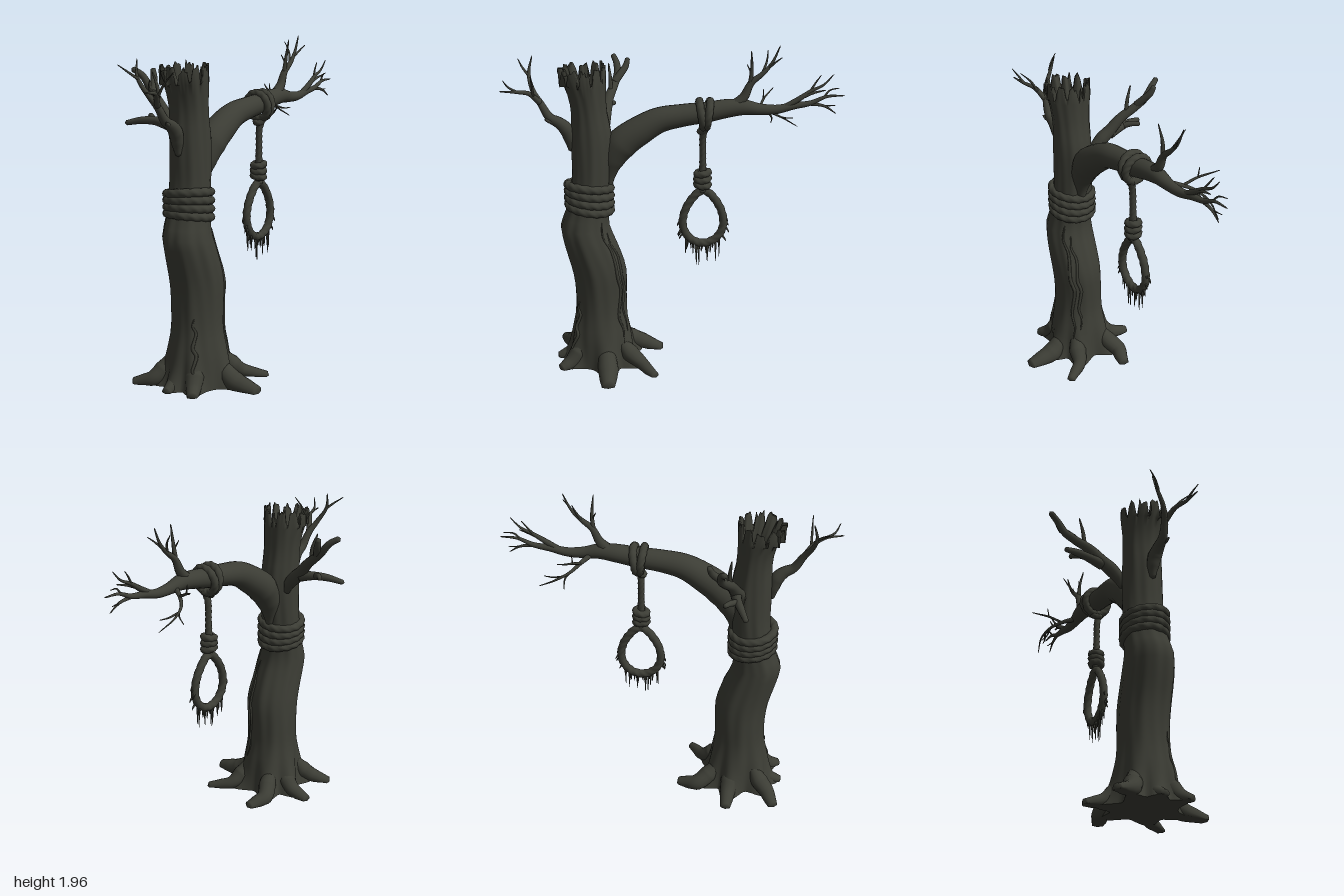
import * as THREE from 'three';
import { mergeVertices, mergeGeometries } from 'three/addons/utils/BufferGeometryUtils.js';

const V = (x, y, z) => new THREE.Vector3(x, y, z);
let seed = 7;
const rand = () => (seed = (seed * 16807) % 2147483647) / 2147483647;

// Weld the seam of a geometry and give it smooth normals
function smooth(geo) {
  geo.deleteAttribute('uv');
  geo.deleteAttribute('normal');
  const g = mergeVertices(geo, 1e-5);
  g.computeVertexNormals();
  return g;
}

// Tapered tube through points [x, y, z, radius]; twist > 0 adds rope strands
function taper(pts, { sides = 10, steps = pts.length * 6, closed = false, twist = 0, floor = false } = {}) {
  const curve = new THREE.CatmullRomCurve3(pts.map(p => V(p[0], p[1], p[2])), closed);
  const geo = new THREE.TubeGeometry(curve, steps, 1, sides, closed);
  const pos = geo.attributes.position, v = V(0, 0, 0);
  const last = closed ? pts.length : pts.length - 1;
  for (let i = 0; i <= steps; i++) {
    const c = curve.getPointAt(i / steps);
    const f = curve.getUtoTmapping(i / steps) * last, k = Math.min(Math.floor(f), last - 1);
    let r = THREE.MathUtils.lerp(pts[k][3], pts[(k + 1) % pts.length][3], f - k);
    if (!closed && (i === 0 || i === steps)) r = 0;
    for (let j = 0; j <= sides; j++) {
      const n = i * (sides + 1) + j;
      const strand = twist ? 1 + 0.07 * Math.cos(3 * (j / sides) * Math.PI * 2 + (i / steps) * twist * Math.PI * 2) : 1;
      v.fromBufferAttribute(pos, n).sub(c).multiplyScalar(r * strand).add(c);
      if (floor) v.y = Math.max(v.y, 0);
      pos.setXYZ(n, v.x, v.y, v.z);
    }
  }
  return smooth(geo);
}

// Closed rope ring made of points from a function of angle
function ring(fn, r, twist) {
  const pts = [];
  for (let i = 0; i < 16; i++) pts.push([...fn((i / 16) * Math.PI * 2), r]);
  return taper(pts, { sides: 12, steps: 96, closed: true, twist });
}

// Roots: start, bend and tip on the ground as [x, z], and thickness
const ROOTS = [
  [[-0.53, -0.03], [-0.63, -0.1], [-0.685, -0.215], 0.04],
  [[-0.54, 0.14], [-0.62, 0.19], [-0.69, 0.235], 0.038],
  [[-0.41, 0.18], [-0.395, 0.31], [-0.39, 0.48], 0.052],
  [[-0.33, 0.16], [-0.2, 0.215], [-0.105, 0.345], 0.034],
  [[-0.33, 0.0], [-0.19, -0.075], [-0.06, -0.04], 0.042],
  [[-0.4, -0.03], [-0.39, -0.14], [-0.385, -0.27], 0.04],
  [[-0.53, 0.05], [-0.63, 0.05], [-0.715, 0.06], 0.034],
];
const LOBES = ROOTS.map(r => Math.atan2(r[1][1] - 0.075, r[1][0] + 0.43));

// Trunk outline by height: y, centre x, radius x, centre z, radius z
const OUTLINE = [
  [0, -0.43, 0.175, 0.075, 0.172], [0.2, -0.435, 0.168, 0.075, 0.16], [0.32, -0.437, 0.153, 0.072, 0.147],
  [0.45, -0.437, 0.153, 0.07, 0.146], [0.6, -0.447, 0.16, 0.075, 0.148], [0.72, -0.48, 0.158, 0.078, 0.147],
  [0.82, -0.512, 0.15, 0.077, 0.144], [0.89, -0.527, 0.142, 0.073, 0.138], [0.97, -0.51, 0.125, 0.066, 0.128],
  [1.08, -0.492, 0.117, 0.063, 0.122], [1.2, -0.48, 0.113, 0.062, 0.12], [1.32, -0.475, 0.118, 0.062, 0.118],
  [1.45, -0.475, 0.118, 0.062, 0.115], [1.58, -0.483, 0.103, 0.06, 0.113], [1.67, -0.492, 0.108, 0.06, 0.118],
  [1.74, -0.504, 0.12, 0.058, 0.128], [1.8, -0.52, 0.138, 0.058, 0.137],
];
const outline = new THREE.CubicInterpolant(OUTLINE.map(r => r[0]), OUTLINE.flatMap(r => r.slice(1)), 4);

// Point on the trunk surface, with root flares low down and wandering furrows
function trunkPoint(a, y) {
  const [cx, rx, cz, rz] = outline.evaluate(y);
  let flare = 0;
  for (const b of LOBES) flare = Math.max(flare, Math.exp(-((Math.sin((a - b) / 2) / 0.15) ** 2)));
  const s = 1 + 0.02 * Math.sin(7 * a + y * 3) + 0.012 * Math.sin(13 * a - y * 4) + 0.58 * flare * Math.exp(-y / 0.125);
  return [cx + Math.cos(a) * rx * s, y, cz + Math.sin(a) * rz * s];
}

// Hollow trunk with a base, a splintered lip and an inner wall
function trunkGeometry() {
  const N = 80, rows = [], jag = [], pos = [], idx = [];
  const angle = j => (j / N) * Math.PI * 2;
  for (let j = 0; j < N; j++) jag.push((j % 7 < 2 ? -0.06 + 0.03 * rand() : 0.055 * rand()) + 0.012 * Math.cos(angle(j)));
  rows.push(() => [-0.43, 0, 0.075], j => trunkPoint(angle(j), 0));
  for (const y of [0, 0.02, 0.045, 0.075, 0.11, 0.15, 0.19, 0.24, 0.3]) rows.push(j => trunkPoint(angle(j), y));
  for (let i = 0; i <= 24; i++) rows.push(j => trunkPoint(angle(j), 0.36 + i * 0.0575));
  rows.push(j => {
    const p = trunkPoint(angle(j), 1.8);
    return [p[0], 1.8 + jag[j], p[2]];
  });
  for (const [y, cx, r, k] of [[1.8, -0.515, 0.117, 1], [1.7, -0.495, 0.088, 0], [1.55, -0.487, 0.08, 0], [1.3, -0.487, 0.08, 0]]) {
    rows.push(j => [cx + Math.cos(angle(j)) * r, y + k * jag[j], 0.056 + Math.sin(angle(j)) * r * 1.05]);
  }
  rows.forEach((row, i) => {
    for (let j = 0; j < N; j++) {
      pos.push(...row(j));
      if (i < rows.length - 1) {
        const k = (j + 1) % N, p = i * N + j, q = p + N, s = i * N + k, t = s + N;
        idx.push(p, q, s, q, t, s);
      }
    }
  });
  const g = new THREE.BufferGeometry();
  g.setAttribute('position', new THREE.Float32BufferAttribute(pos, 3));
  g.setIndex(idx);
  g.computeVertexNormals();
  return g;
}

export function createModel() {
  const group = new THREE.Group();
  const bark = new THREE.MeshStandardMaterial({ color: 0x3c3d35 });
  bark.name = 'dark bark';
  const add = (name, geos) => {
    const m = new THREE.Mesh(Array.isArray(geos) ? mergeGeometries(geos) : geos, bark);
    m.name = name;
    group.add(m);
  };
  const twigs = (name, list, sides = 8) => add(name, list.map(p => taper(p, { sides })));

  add('trunk', trunkGeometry());

  // Roots creeping out of the flares
  add('roots', ROOTS.map(([a, b, c, r]) => taper([
    [a[0], 0.17, a[1], 0.03], [(a[0] + b[0]) / 2, 0.085, (a[1] + b[1]) / 2, 0.055], [b[0], 0.035, b[1], r * 1.2],
    [(b[0] + c[0]) / 2, 0.014, (b[1] + c[1]) / 2, r], [c[0], 0.0, c[1], r * 0.7]], { sides: 14, steps: 30, floor: true })));

  // Zigzag ridges beside the split in the bark
  add('barkRidges', [[0.76, 0.93, 0.15], [0.48, 0.86, 0.22], [2.55, 0.42, 0.04]].map(([a, top, low]) => {
    const pts = [];
    for (let i = 0; i <= 9; i++) {
      const p = trunkPoint(a + 0.07 * Math.sin(i * 2.1), top + (low - top) * i / 9);
      pts.push([...p, 0.004 + 0.007 * Math.sin(Math.PI * i / 9)]);
    }
    return taper(pts, { sides: 6 });
  }));

  // Great limb reaching to the left
  add('mainLimb', taper([
    [-0.385, 1.08, 0.06, 0.015], [-0.382, 1.18, 0.06, 0.04], [-0.362, 1.28, 0.058, 0.074], [-0.3, 1.383, 0.058, 0.094],
    [-0.19, 1.466, 0.06, 0.086], [-0.08, 1.526, 0.06, 0.075], [0.05, 1.553, 0.06, 0.066], [0.2, 1.572, 0.055, 0.06],
    [0.32, 1.592, 0.05, 0.054], [0.41, 1.598, 0.05, 0.046], [0.5, 1.585, 0.048, 0.034], [0.6, 1.582, 0.045, 0.027],
    [0.7, 1.602, 0.042, 0.021], [0.8, 1.618, 0.04, 0.015], [0.89, 1.655, 0.038, 0.009], [1.0, 1.66, 0.036, 0.003]], { sides: 20, steps: 90 }));

  twigs('upperTwigs', [
    [[0.34, 1.59, 0.05, 0.04], [0.41, 1.66, 0.05, 0.028], [0.45, 1.74, 0.05, 0.02], [0.52, 1.8, 0.05, 0.014], [0.57, 1.86, 0.045, 0.009], [0.615, 1.96, 0.04, 0.003]],
    [[0.445, 1.73, 0.05, 0.015], [0.452, 1.83, 0.06, 0.01], [0.445, 1.94, 0.085, 0.003]],
    [[0.51, 1.79, 0.05, 0.009], [0.54, 1.86, 0.02, 0.006], [0.55, 1.92, -0.02, 0.002]],
    [[0.55, 1.83, 0.05, 0.008], [0.59, 1.87, 0.07, 0.005], [0.625, 1.9, 0.085, 0.002]],
    [[0.45, 1.8, 0.055, 0.007], [0.425, 1.85, 0.04, 0.002]],
  ]);
  twigs('endTwigs', [
    [[0.64, 1.59, 0.045, 0.018], [0.74, 1.65, 0.045, 0.016], [0.8, 1.69, 0.04, 0.011], [0.87, 1.725, 0.04, 0.007], [0.93, 1.79, 0.04, 0.002]],
    [[0.74, 1.65, 0.045, 0.012], [0.81, 1.68, 0.05, 0.008], [0.885, 1.7, 0.06, 0.003]],
    [[0.79, 1.68, 0.04, 0.008], [0.83, 1.74, 0.025, 0.005], [0.86, 1.78, 0.02, 0.002]],
    [[0.79, 1.615, 0.04, 0.012], [0.88, 1.6, 0.045, 0.008], [0.95, 1.555, 0.05, 0.002]],
    [[0.87, 1.645, 0.04, 0.007], [0.91, 1.69, 0.03, 0.005], [0.97, 1.7, 0.015, 0.002]],
    [[0.87, 1.6, 0.045, 0.006], [0.95, 1.6, 0.03, 0.002]],
  ]);
  twigs('backTwigs', [
    [[0.46, 1.58, 0.04, 0.018], [0.51, 1.56, -0.04, 0.012], [0.56, 1.53, -0.1, 0.009], [0.64, 1.49, -0.13, 0.006], [0.75, 1.43, -0.11, 0.002]],
    [[0.51, 1.56, -0.04, 0.009], [0.54, 1.6, -0.12, 0.007], [0.57, 1.62, -0.17, 0.005], [0.61, 1.645, -0.22, 0.002]],
    [[0.56, 1.53, -0.1, 0.008], [0.59, 1.49, -0.11, 0.005], [0.59, 1.44, -0.15, 0.002]],
    [[0.6, 1.51, -0.12, 0.007], [0.66, 1.49, -0.1, 0.005], [0.72, 1.49, -0.09, 0.002]],
    [[0.54, 1.6, -0.12, 0.006], [0.54, 1.66, -0.13, 0.002]],
  ]);
  twigs('rightBranch', [
    [[-0.59, 1.34, 0.07, 0.015], [-0.6, 1.42, 0.07, 0.036], [-0.62, 1.48, 0.075, 0.042], [-0.66, 1.52, 0.08, 0.034], [-0.71, 1.55, 0.08, 0.027],
      [-0.76, 1.63, 0.07, 0.021], [-0.805, 1.7, 0.04, 0.015], [-0.83, 1.79, -0.01, 0.01], [-0.81, 1.89, -0.03, 0.003]],
    [[-0.76, 1.63, 0.07, 0.018], [-0.82, 1.7, 0.11, 0.014], [-0.88, 1.72, 0.15, 0.01], [-0.985, 1.73, 0.17, 0.003]],
    [[-0.88, 1.72, 0.15, 0.008], [-0.93, 1.75, 0.16, 0.006], [-0.96, 1.8, 0.19, 0.002]],
    [[-0.83, 1.78, 0.0, 0.009], [-0.87, 1.82, -0.04, 0.006], [-0.9, 1.86, -0.09, 0.002]],
    [[-0.8, 1.68, 0.1, 0.009], [-0.8, 1.76, 0.15, 0.006], [-0.8, 1.83, 0.22, 0.002]],
    [[-0.66, 1.52, 0.08, 0.016], [-0.715, 1.535, 0.1, 0.012], [-0.74, 1.55, 0.11, 0.003]],
  ], 12);
  twigs('backBranch', [
    [[-0.42, 1.34, -0.035, 0.015], [-0.415, 1.41, -0.065, 0.036], [-0.41, 1.46, -0.11, 0.042], [-0.4, 1.505, -0.16, 0.037], [-0.38, 1.58, -0.23, 0.03],
      [-0.35, 1.64, -0.31, 0.026], [-0.33, 1.69, -0.37, 0.023], [-0.335, 1.75, -0.42, 0.02], [-0.36, 1.79, -0.48, 0.016]],
    [[-0.35, 1.65, -0.32, 0.024], [-0.31, 1.7, -0.35, 0.022], [-0.28, 1.74, -0.375, 0.02], [-0.265, 1.79, -0.395, 0.014]],
    [[-0.4, 1.48, -0.15, 0.034], [-0.415, 1.5, -0.25, 0.026], [-0.44, 1.5, -0.33, 0.022], [-0.48, 1.48, -0.43, 0.014]],
    [[-0.42, 1.5, -0.26, 0.02], [-0.38, 1.52, -0.31, 0.017], [-0.345, 1.52, -0.35, 0.013]],
    [[-0.37, 1.6, -0.26, 0.014], [-0.37, 1.69, -0.27, 0.011], [-0.38, 1.78, -0.3, 0.004]],
  ], 12);

  // Rope bound around the trunk, slightly tilted
  add('trunkRope', [0.998, 1.04, 1.083, 1.126].map((y, i) => ring(a => [
    -0.495 + 0.125 * Math.cos(a), y - 0.02 * Math.cos(a + i * 0.3), 0.062 + 0.122 * Math.sin(a)], 0.025, 14)));

  // Rope wound over the limb, with a small knot beneath
  add('limbRope', [0.165, 0.203].map((x, i) => ring(a => [
    x + 0.012 * Math.sin(a) * (i ? 1 : -1), 1.558 + 0.077 * Math.sin(a), 0.055 + 0.075 * Math.cos(a)], 0.023, 12)));
  add('limbKnot', ring(a => [0.178 + 0.022 * Math.cos(a), 1.468 + 0.012 * Math.cos(a), 0.06 + 0.022 * Math.sin(a)], 0.018, 6));

  // Hanging rope, knot and loop
  add('hangingRope', taper([[0.185, 1.49, 0.085, 0.022], [0.175, 1.43, 0.065, 0.02], [0.175, 1.3, 0.06, 0.019], [0.175, 1.08, 0.058, 0.026]],
    { sides: 12, steps: 60, twist: 12 }));
  add('knot', [1.2, 1.165, 1.13].map((y, i) => ring(a => [
    0.175 + 0.034 * Math.cos(a), y + 0.006 * Math.cos(a + i), 0.057 + 0.03 * Math.sin(a)], 0.021, 6)));
  const loopPoint = a => {
    const s = Math.sin(a);
    return [0.18 + 0.122 * Math.cos(a) * (s > 0 ? 1 - 0.35 * s * s : 1), s > 0 ? 0.89 + 0.2 * s : 0.89 + 0.135 * s, 0.055];
  };
  add('ropeLoop', ring(loopPoint, 0.024, 18));

  // Loose fibres: hanging along the bottom, short on the sides
  const fibres = [];
  for (let i = 0; i < 30; i++) {
    const low = i < 17;
    const a = low ? Math.PI * (1.17 + 0.66 * (i / 16)) : (i % 2 ? 0 : Math.PI) + (rand() - 0.5) * 1.2;
    const [x, y, z] = loopPoint(a);
    const len = low ? 0.035 + 0.13 * rand() * (0.5 - 0.4 * Math.sin(a)) : 0.035;
    const out = low ? (rand() - 0.5) * 0.02 : Math.sign(Math.cos(a)) * 0.034;
    const dz = (rand() - 0.5) * 0.03;
    fibres.push(taper([[x, y, z + dz * 0.5, 0.01], [x + out * 0.8, y - 0.02 - len * 0.4, z + dz, 0.005],
      [x + out, y - 0.015 - len, z + dz, 0.002]], { sides: 5, steps: 6 }));
  }
  add('looseFibres', fibres);

  return group;
}
